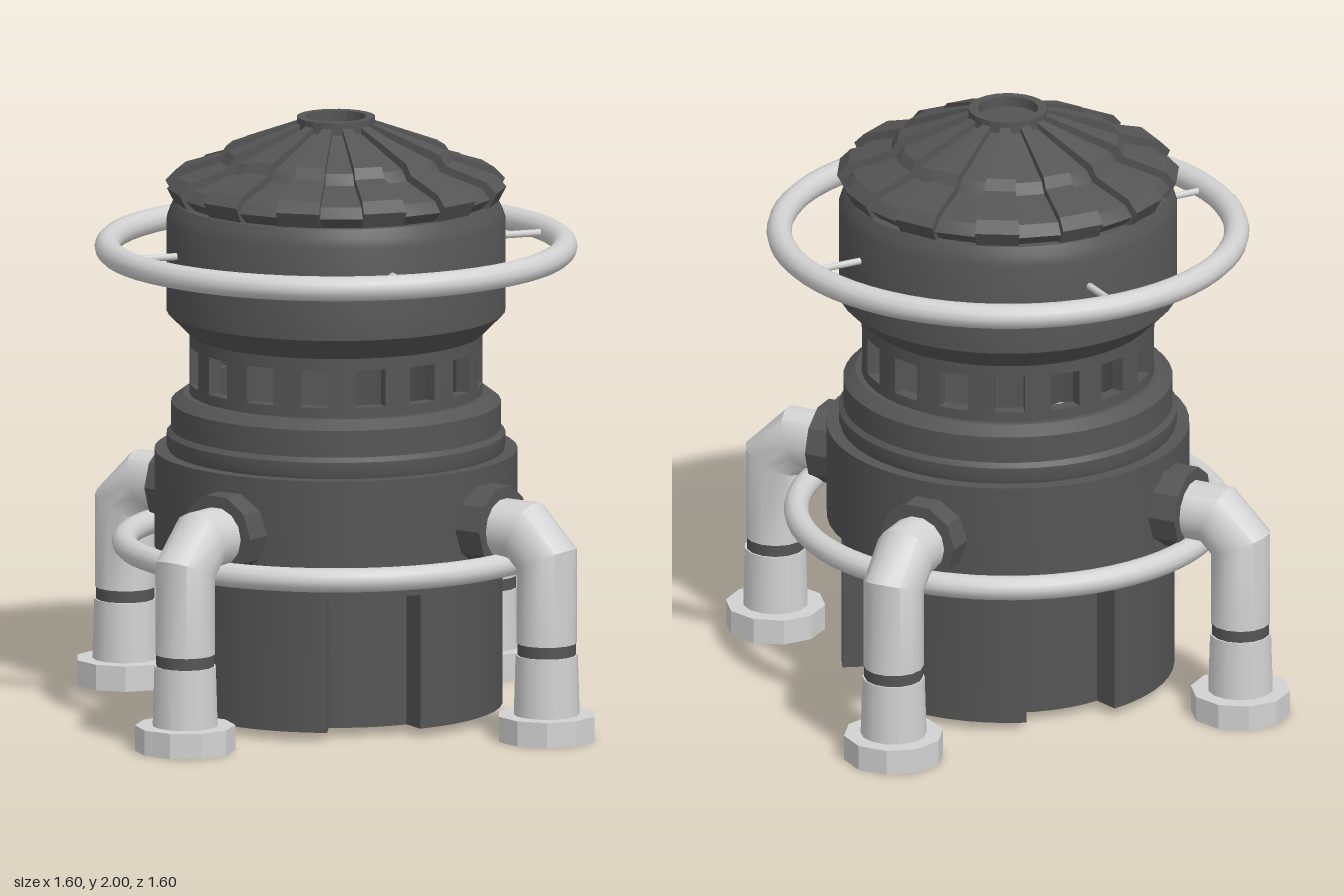
import * as THREE from 'three';
import { toCreasedNormals } from 'three/addons/utils/BufferGeometryUtils.js';

const V = (x, y) => new THREE.Vector2(x, y);
const rad = THREE.MathUtils.degToRad;

export function createModel() {
  const model = new THREE.Group();
  const darkMetal = new THREE.MeshStandardMaterial({ color: 0x555555 });
  darkMetal.name = 'darkMetal';
  const paleMetal = new THREE.MeshStandardMaterial({ color: 0xd2d2d2, side: THREE.DoubleSide });
  paleMetal.name = 'paleMetal';

  const add = (name, geometry, material, parent = model) => {
    const mesh = new THREE.Mesh(geometry, material);
    mesh.name = name;
    parent.add(mesh);
    return mesh;
  };

  // Turned part with sharp edges; points are [radius, height]
  const turned = (points, sides, crease = 0.5) =>
    toCreasedNormals(new THREE.LatheGeometry(points.map(p => V(...p)), sides), crease);

  // Profile of [radius, height] swept over an arc (degrees, 0 = front)
  const sector = (points, centre, width, steps) => {
    const g = new THREE.ExtrudeGeometry(new THREE.Shape(points.map(p => V(...p))),
      { depth: 1, steps, bevelEnabled: false });
    const pos = g.attributes.position;
    for (let i = 0; i < pos.count; i++) {
      const r = pos.getX(i), a = rad(centre + width * (0.5 - pos.getZ(i)));
      pos.setXYZ(i, r * Math.sin(a), pos.getY(i), r * Math.cos(a));
    }
    g.deleteAttribute('uv');
    g.computeVertexNormals();
    return toCreasedNormals(g, 0.4);
  };
  const box = (r0, r1, y0, y1) => [[r0, y0], [r1, y0], [r1, y1], [r0, y1]];

  // Hollow lower body, open at the bottom
  add('lowerBody', turned([
    [0.44, 0.03], [0.46, 0.03], [0.46, 0.48], [0.55, 0.48], [0.55, 0.52], [0.6, 0.56],
    [0.6, 0.885], [0.555, 0.885], [0.56, 0.9], [0.56, 0.94], [0.545, 0.955], [0.545, 1.045],
    [0.505, 1.075], [0.485, 1.075], [0.485, 1.11], [0.44, 1.11], [0.44, 0.03],
  ], 48), darkMetal);

  // Four thick skirt panels with recesses between them
  for (let i = 0; i < 4; i++)
    add('skirtPanel', sector(box(0.445, 0.55, 0.03, 0.48), 49.3 + i * 90, 56.5, 8), darkMetal);

  // Pillars between the sixteen open windows
  for (let i = 0; i < 16; i++)
    add('windowPillar', sector(box(0.44, 0.485, 1.11, 1.235), 4.3 + (i + 0.5) * 22.5, 10.5, 2), darkMetal);

  // Hollow upper body
  add('upperBody', turned([
    [0.44, 1.235], [0.485, 1.235], [0.485, 1.275], [0.56, 1.35], [0.56, 1.66], [0.55, 1.69],
    [0.535, 1.72], [0, 1.72], [0, 1.69], [0.44, 1.69], [0.44, 1.235],
  ], 48, 0.35), darkMetal);

  // Stepped dome with alternating raised slats and a vent on top
  add('dome', turned([
    [0.51, 1.72], [0.545, 1.755], [0.515, 1.79], [0.37, 1.835], [0.345, 1.87], [0.13, 1.96],
    [0.13, 2], [0.1, 2], [0.1, 1.965], [0, 1.965],
  ], 24, 0.25), darkMetal);
  const slat = [
    [0.5, 1.72], [0.54, 1.725], [0.566, 1.775], [0.53, 1.812], [0.388, 1.858], [0.365, 1.893],
    [0.125, 1.982], [0.12, 1.95], [0.34, 1.85], [0.36, 1.82], [0.5, 1.77],
  ];
  for (let i = 0; i < 12; i++)
    add('domeSlat', sector(slat, 7.5 + i * 30, 15, 1), darkMetal);

  // Hoops around the body
  for (const [name, r, tube, y] of [['upperHoop', 0.756, 0.042, 1.563], ['lowerHoop', 0.7, 0.041, 0.572]]) {
    const hoop = add(name, new THREE.TorusGeometry(r, tube, 12, 64), paleMetal);
    hoop.rotation.x = Math.PI / 2;
    hoop.position.y = y;
  }

  // Thin rods holding the upper hoop
  for (let i = 0; i < 4; i++) {
    const a = rad(10 + i * 90);
    const rod = add('hoopRod', new THREE.CylinderGeometry(0.012, 0.012, 0.2, 8), paleMetal);
    rod.rotation.set(Math.PI / 2, a, 0, 'YXZ');
    rod.position.set(0.64 * Math.sin(a), 1.563, 0.64 * Math.cos(a));
  }

  // Pipe following a path with mitred bends, from the body outwards and down
  const bentPipe = (path, radius, sides) => {
    const n = path.length - 1;
    const g = new THREE.CylinderGeometry(1, 1, 1, sides, n, true);
    const pos = g.attributes.position;
    const normals = path.slice(1).map((p, i) => {
      const d = p.clone().sub(path[i]).normalize();
      return V(-d.y, d.x);
    });
    const mitres = path.map((p, k) => {
      const a = normals[Math.max(k - 1, 0)], b = normals[Math.min(k, n - 1)];
      const m = a.clone().add(b).normalize();
      return m.divideScalar(m.dot(a));
    });
    for (let i = 0; i < pos.count; i++) {
      const k = Math.round((0.5 - pos.getY(i)) * n), x = pos.getX(i) * radius;
      pos.setXYZ(i, path[k].x + mitres[k].x * x, path[k].y + mitres[k].y * x, pos.getZ(i) * radius);
    }
    return toCreasedNormals(g, 0.6);
  };

  // Four pipe legs on the diagonals, built along +x
  const legX = 0.856;
  const elbow = bentPipe([V(0.4, 0.69), V(0.77, 0.69), V(legX, 0.605), V(legX, 0.325)], 0.1, 14);
  const foot = turned([[0, 0.05], [0.115, 0.05], [0.115, 0], [0.166, 0], [0.166, 0.085], [0.09, 0.085]], 10);
  for (let i = 0; i < 4; i++) {
    const leg = new THREE.Group();
    leg.name = 'leg';
    leg.rotation.y = rad(45 + i * 90);
    model.add(leg);

    add('legElbow', elbow, paleMetal, leg);
    add('legSleeve', new THREE.CylinderGeometry(0.103, 0.109, 0.2, 14), paleMetal, leg)
      .position.set(legX, 0.185, 0);
    add('legJoint', new THREE.CylinderGeometry(0.097, 0.097, 0.05, 14), darkMetal, leg)
      .position.set(legX, 0.305, 0);
    add('foot', foot, paleMetal, leg).position.x = legX;

    // Collar where the pipe enters the body
    const collar = add('legCollar',
      toCreasedNormals(new THREE.CylinderGeometry(0.138, 0.138, 0.13, 10), 0.4), darkMetal, leg);
    collar.rotation.z = -Math.PI / 2;
    collar.position.set(0.615, 0.695, 0);
  }
  return model;
}
